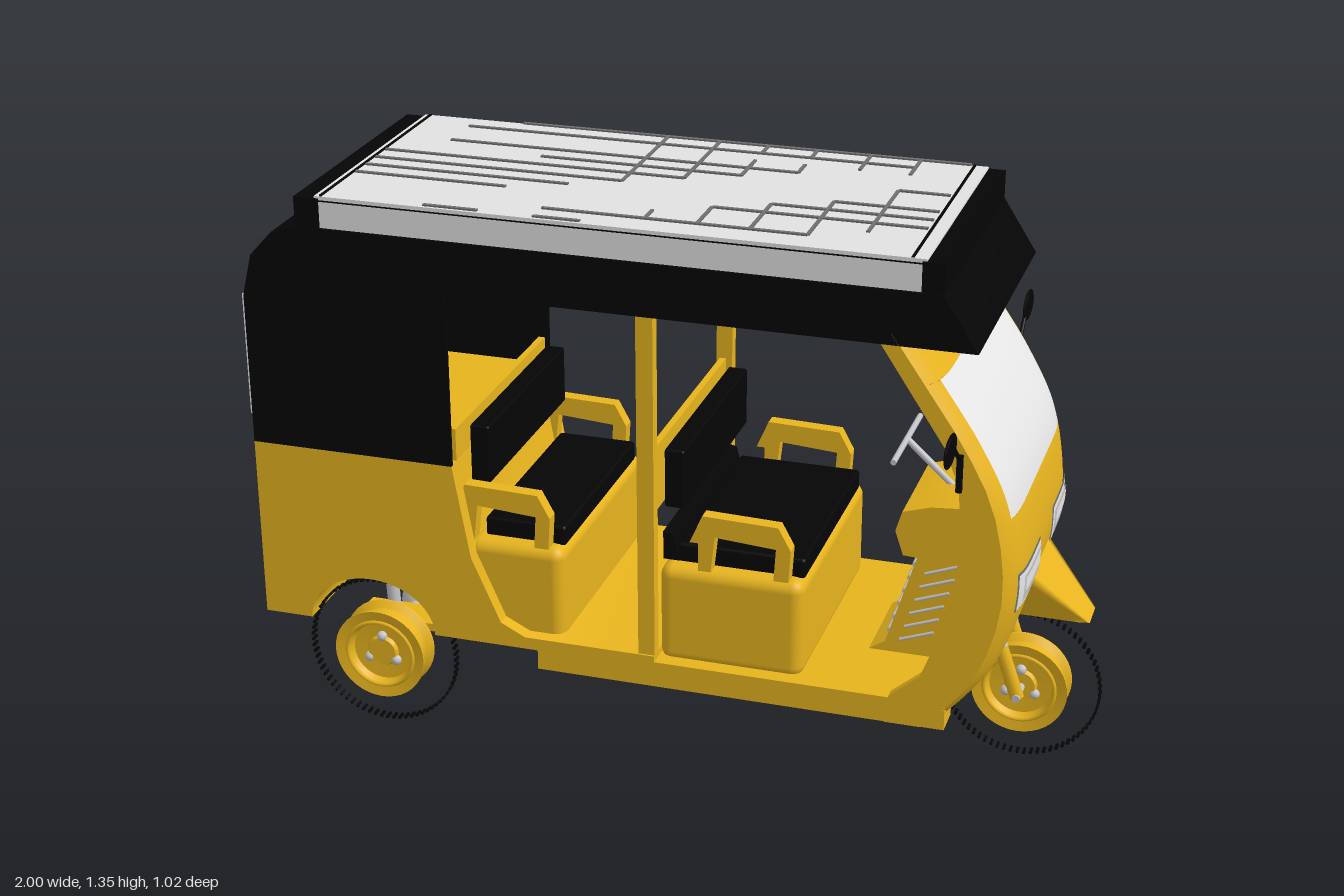
import * as THREE from 'three';
import { mergeGeometries, toCreasedNormals } from 'three/addons/utils/BufferGeometryUtils.js';
import { ParametricGeometry } from 'three/addons/geometries/ParametricGeometry.js';
import { RoundedBoxGeometry } from 'three/addons/geometries/RoundedBoxGeometry.js';

const paint = (name, color) => new THREE.MeshStandardMaterial({ name, color, side: THREE.DoubleSide });

export function createModel() {
  const root = new THREE.Group();
  root.name = 'threeWheeler';
  const yellow = paint('yellow', 0xf3bd20), black = paint('black', 0x050505), pale = paint('paleGlass', 0xe8e8e8);
  const panelGrey = paint('panelGrey', 0xe2e2e2), dark = paint('darkGrey', 0x707070), metal = paint('metal', 0xc4c4c8);

  const add = (name, geo, mat, x = 0, y = 0, z = 0, parent = root) => {
    const m = new THREE.Mesh(geo, mat);
    m.name = name;
    m.position.set(x, y, z);
    parent.add(m);
    return m;
  };
  // box given by its limits on each axis
  const box = (name, mat, x0, x1, y0, y1, z0, z1) =>
    add(name, new THREE.BoxGeometry(x1 - x0, y1 - y0, z1 - z0), mat, (x0 + x1) / 2, (y0 + y1) / 2, (z0 + z1) / 2);
  const shapeOf = pts => new THREE.Shape(pts.map(p => new THREE.Vector2(p[0], p[1])));
  // side profile extruded across z
  const slab = (name, mat, shape, z0, z1, parent = root) => add(name, toCreasedNormals(new THREE.ExtrudeGeometry(shape,
    { depth: z1 - z0, bevelEnabled: false, curveSegments: 16 }), 0.5), mat, 0, 0, z0, parent);
  const rod = (name, mat, a, b, r) => {
    const A = new THREE.Vector3(...a), B = new THREE.Vector3(...b);
    const m = add(name, new THREE.CylinderGeometry(r, r, A.distanceTo(B), 12), mat);
    m.position.copy(A).lerp(B, 0.5);
    m.quaternion.setFromUnitVectors(new THREE.Vector3(0, 1, 0), B.sub(A).normalize());
    return m;
  };
  const W = 0.335;

  // rear tub with wheel arches, running forward into the passenger floor
  const tub = new THREE.Shape();
  tub.moveTo(-0.99, 0.28).lineTo(-0.87, 0.28);
  tub.absellipse(-0.71, 0.28, 0.16, 0.125, Math.PI, 0, true);
  tub.lineTo(0, 0.28).lineTo(0, 0.31).lineTo(-0.32, 0.31).lineTo(-0.38, 0.34).lineTo(-0.45, 0.5);
  tub.lineTo(-0.49, 0.73).lineTo(-0.99, 0.73).closePath();
  slab('rearBody', yellow, tub, -W, W);
  box('floor', yellow, -0.29, 0.69, 0.25, 0.28, -0.3, 0.3);
  box('frontSill', yellow, 0, 0.62, 0.27, 0.295, -W, W);

  // hollow canopy: two side sheets, a bent skin
  const outline = [[-0.99, 0.73], [-0.99, 1.1], [-0.965, 1.2], [-0.91, 1.26], [-0.85, 1.28], [0.65, 1.28], [0.73, 1.155]];
  const inner = [[0.712, 1.155], [0.64, 1.265], [-0.845, 1.265], [-0.9, 1.245], [-0.95, 1.19], [-0.975, 1.1], [-0.975, 0.73]];
  slab('canopySkin', black, shapeOf([...outline, ...inner]), -W, W);
  for (const s of [-1, 1]) {
    slab('canopySide', black, shapeOf([...outline, [-0.49, 1.155], [-0.49, 0.73]]), s * 0.33 - 0.005, s * 0.33 + 0.005);
    box('sideRail', yellow, -0.29, 0.69, 0.23, 0.28, s * 0.295 - 0.038, s * 0.295 + 0.038);
    box('centrePillar', yellow, -0.04, 0, 0.29, 1.2, s * 0.315 - 0.015, s * 0.315 + 0.015);
    box('tailLamp', pale, -0.998, -0.989, 0.64, 0.705, s * 0.22 - 0.06, s * 0.22 + 0.06);
    box('tailLampRim', black, -0.995, -0.989, 0.636, 0.709, s * 0.22 - 0.064, s * 0.22 + 0.064);
  }
  box('rearWindow', pale, -0.996, -0.989, 0.8, 1.1, -0.33, 0.33);

  // roof rails and solar panel
  box('rearRoofRail', black, -0.85, -0.79, 1.27, 1.35, -0.33, 0.33);
  box('frontRoofRail', black, 0.6, 0.65, 1.27, 1.35, -0.33, 0.33);
  box('solarPanel', panelGrey, -0.8, 0.61, 1.28, 1.355, -0.327, 0.327);
  box('panelBracket', panelGrey, 0.445, 0.57, 1.294, 1.298, -0.385, -0.32);
  for (const s of [-1, 1]) box('panelEdge', black, -0.79, 0.6, 1.343, 1.346, s * 0.327 - 0.002, s * 0.327 + 0.002);
  for (const x of [-0.785, 0.578]) box('panelTrim', black, x - 0.003, x + 0.003, 1.353, 1.358, -0.325, 0.325);
  // cell lines along x: z, start, end
  [[-0.325, -0.54, 0.57], [-0.265, -0.66, 0.45], [-0.15, -0.66, 0.2], [-0.092, -0.41, 0.08], [-0.092, 0.45, 0.57],
    [-0.035, -0.78, -0.04], [0.025, -0.78, -0.17], [0.025, 0.33, 0.57], [0.082, -0.78, -0.28], [0.082, 0.2, 0.57],
    [0.14, -0.78, -0.41], [0.14, 0.08, 0.57], [0.257, -0.28, 0.33], [0.315, -0.54, -0.41], [0.315, -0.28, -0.17]]
    .forEach(([z, a, b]) => box('cellLine', dark, a, b, 1.353, 1.359, z - 0.005, z + 0.005));
  // cell lines along z: x, start, end
  [[-0.17, -0.32, 0.025], [-0.04, -0.32, -0.035], [0.08, -0.32, -0.265], [0.08, -0.21, -0.09], [0.2, -0.32, -0.265],
    [0.2, -0.21, -0.15], [0.33, -0.32, -0.21], [0.45, -0.32, -0.21], [0.45, -0.09, 0.2], [0.33, 0.025, 0.257],
    [0.2, 0.082, 0.257], [0.08, 0.14, 0.257], [-0.04, 0.2, 0.257]]
    .forEach(([x, a, b]) => box('cellLine', dark, x - 0.004, x + 0.004, 1.353, 1.359, a, b));

  // curved nose, built in patches so the windscreen is a real pane
  const nose = new THREE.SplineCurve([[0.575, 1.18], [0.665, 1.05], [0.745, 0.93], [0.81, 0.8], [0.84, 0.65],
    [0.835, 0.52], [0.79, 0.38], [0.72, 0.28], [0.67, 0.23]].map(p => new THREE.Vector2(...p)));
  const noseX = y => {
    let a = 0, b = 1;
    for (let i = 0; i < 24; i++) {
      const m = (a + b) / 2;
      if (nose.getPoint(m).y > y) a = m; else b = m;
    }
    return nose.getPoint(a).x;
  };
  const patch = (name, mat, y0, y1, z0, z1, off = 0) => add(name, new ParametricGeometry((u, v, p) => {
    const y = y0 + (y1 - y0) * v, z = z0 + (z1 - z0) * u;
    const well = THREE.MathUtils.smoothstep(0.47 - y, 0, 0.1) * (1 - THREE.MathUtils.smoothstep(Math.abs(z), 0.05, 0.12));
    p.set(noseX(y) - 0.035 * Math.pow(Math.abs(z) / W, 8) - 0.09 * well + off, y, z);
  }, 28, 20), mat);
  patch('noseTop', yellow, 1.18, 1.07, -W, W);
  patch('windscreen', pale, 1.07, 0.76, -0.29, 0.29);
  patch('noseLower', yellow, 0.76, 0.24, -W, W);
  const cheek = [];
  for (let i = 0; i <= 14; i++) {
    const y = 1.18 - i * 0.95 / 14;
    cheek.push([noseX(y) - 0.034, y]);
  }
  cheek.push([0.55, 0.23], [0.56, 0.3], [0.63, 0.36], [0.69, 0.52], [0.71, 0.7], [0.7, 0.84], [0.665, 0.93], [0.5, 1.18]);
  for (const s of [-1, 1]) {
    const z = (a, b) => s > 0 ? [a, b] : [-b, -a];
    patch('windscreenFrame', yellow, 1.07, 0.76, ...z(0.29, W));
    slab('noseCheek', yellow, shapeOf(cheek), ...z(0.312, W));
    // headlamp: thin dark outline, bright bezel, shaded bowl, lens
    patch('headlampOutline', dark, 0.627, 0.53, ...z(0.078, 0.292), 0.003);
    patch('headlampBezel', pale, 0.622, 0.535, ...z(0.083, 0.288), 0.005);
    patch('headlampBowl', metal, 0.612, 0.548, ...z(0.09, 0.262), 0.007);
    patch('headlampLens', pale, 0.605, 0.572, ...z(0.105, 0.255), 0.009);
    // wing mirrors
    rod('mirrorMount', black, [0.7, 0.83, s * 0.334], [0.7, 0.92, s * 0.334], 0.008);
    rod('mirrorArm', black, [0.7, 0.905, s * 0.335], [0.7, 0.965, s * 0.41], 0.005);
    add('mirror', new THREE.SphereGeometry(1, 16, 10), black, 0.7, 0.977, s * 0.45).scale.set(0.008, 0.036, 0.058);
  }
  // wedge mudguard: sloping top, sides falling back to the nose
  add('mudguard', new ParametricGeometry((u, v, p) => {
    const k = u * 2 - 1, half = 0.11 - 0.07 * v;
    const side = Math.max(0, (Math.abs(k) - 0.6) / 0.4);
    const z = Math.sign(k) * THREE.MathUtils.lerp(Math.min(Math.abs(k) / 0.6, 1) * half, 0.045, side);
    p.set(THREE.MathUtils.lerp(0.825 + 0.14 * v, 0.79 + 0.15 * v, side), THREE.MathUtils.lerp(0.55 - 0.15 * v, 0.4, side), z);
  }, 20, 8), yellow);

  // dashboard, leg shield, handlebar
  slab('dashboard', yellow, shapeOf([[0.54, 0.56], [0.72, 0.55], [0.72, 0.7], [0.6, 0.69], [0.535, 0.67], [0.52, 0.62]]), -0.14, 0.14);
  slab('legShield', yellow, shapeOf([[0.44, 0.28], [0.5, 0.32], [0.57, 0.55], [0.72, 0.55], [0.67, 0.28]]), -0.12, 0.12);
  for (let i = 0; i < 6; i++) {
    const x = 0.505 + i * 0.011, y = 0.34 + i * 0.036;
    rod('shieldRib', metal, [x, y, -0.1], [x, y, 0.1], 0.006);
    for (const s of [-1, 1]) rod('shieldSideRib', metal, [x + 0.03, y - 0.01, s * 0.12], [x + 0.11, y + 0.02, s * 0.12], 0.004);
  }
  rod('steeringColumn', metal, [0.63, 0.68, 0], [0.51, 0.79, 0], 0.008);
  rod('handlebar', metal, [0.51, 0.79, -0.14], [0.51, 0.79, 0.14], 0.007);

  // two bench seats facing forward, with an open gap under each backrest
  const bench = (name, x, len) => {
    const g = new THREE.Group();
    g.name = name;
    g.position.x = x;
    root.add(g);
    add('seatBase', new RoundedBoxGeometry(len, 0.25, 0.6, 3, 0.03), yellow, len / 2, 0.405, 0, g);
    add('cushion', new RoundedBoxGeometry(len - 0.04, 0.05, 0.52, 2, 0.008), black, len / 2 + 0.015, 0.55, 0, g);
    add('backrest', new RoundedBoxGeometry(0.048, 0.145, 0.52, 2, 0.006), black, 0.027, 0.735, 0, g);
    add('backPanel', new THREE.BoxGeometry(0.016, 0.16, 0.6), yellow, -0.024, 0.73, 0, g);
    const a = len - 0.27;
    const arm = shapeOf([[a, 0.6], [a + 0.03, 0.67], [a + 0.21, 0.665], [a + 0.24, 0.61], [a + 0.235, 0.53],
      [a + 0.2, 0.53], [a + 0.205, 0.61], [a + 0.06, 0.62], [a + 0.05, 0.53], [a + 0.02, 0.53], [a + 0.02, 0.6]]);
    for (const s of [-1, 1]) slab('armrest', yellow, arm, s * 0.28 - 0.017, s * 0.28 + 0.017, g);
  };
  bench('rearSeat', -0.475, 0.24);
  bench('frontSeat', 0, 0.345);
  slab('lumbarPad', black, shapeOf([[0, 0.53], [0.04, 0.53], [0.025, 0.595], [0, 0.6]]), -0.26, 0.26);

  // wheels: dished rim, hub bolts and a thin ring of tread lugs
  const rimGeo = new THREE.LatheGeometry([[0, -0.02], [0.035, -0.02], [0.04, -0.01], [0.075, -0.012], [0.085, -0.03], [0.115, -0.035],
    [0.115, -0.03], [0.1, -0.015], [0.1, 0.015], [0.115, 0.03], [0.115, 0.035], [0.085, 0.03], [0.075, 0.012], [0.04, 0.01],
    [0.035, 0.02], [0, 0.02]].map(p => new THREE.Vector2(...p)), 40);
  const rim = toCreasedNormals(rimGeo.rotateX(Math.PI / 2), 0.5);
  const lugs = [];
  for (let i = 0; i < 72; i++)
    lugs.push(new THREE.BoxGeometry(0.006, 0.006, 0.022).translate(0.187, 0, 0).rotateZ(i * Math.PI / 36));
  const tread = mergeGeometries(lugs);
  const wheel = (name, x, z) => {
    const g = new THREE.Group();
    g.name = name;
    g.position.set(x, 0.197, z);
    root.add(g);
    add('rim', rim, yellow, 0, 0, 0, g);
    add('tread', tread, black, 0, 0, 0, g);
    for (const s of [-1, 1]) {
      add('rimRing', new THREE.TorusGeometry(0.085, 0.005, 6, 36), yellow, 0, 0, s * 0.031, g);
      for (let i = 0; i < 3; i++) {
        const a = Math.PI / 2 + i * Math.PI * 2 / 3;
        add('hubBolt', new THREE.SphereGeometry(0.013, 10, 8), metal, Math.cos(a) * 0.04, Math.sin(a) * 0.04, s * 0.013, g);
      }
    }
  };
  wheel('frontWheel', 0.808, 0);
  wheel('rearWheel', -0.703, 0.29);
  wheel('rearWheel', -0.703, -0.29);

  // rear axle, motor and suspension
  rod('rearAxle', metal, [-0.703, 0.197, -0.27], [-0.703, 0.197, 0.27], 0.026);
  rod('motor', metal, [-0.72, 0.2, 0.02], [-0.56, 0.2, 0.02], 0.055);
  add('differential', new THREE.SphereGeometry(0.065, 20, 14), metal, -0.703, 0.197, 0.02);
  for (const s of [-1, 1]) {
    box('leafSpring', yellow, -0.8, -0.6, 0.225, 0.245, s * 0.18 - 0.045, s * 0.18 + 0.045);
    rod('rearDamper', metal, [-0.7, 0.22, s * 0.22], [-0.71, 0.42, s * 0.22], 0.016);
    // front fork with coil springs
    rod('forkLeg', yellow, [0.81, 0.19, s * 0.065], [0.765, 0.32, s * 0.065], 0.017);
    rod('forkTube', metal, [0.77, 0.3, s * 0.065], [0.73, 0.42, s * 0.065], 0.009);
    for (let i = 0; i < 7; i++) {
      const c = add('forkSpring', new THREE.TorusGeometry(0.014, 0.004, 6, 14), metal, 0.764 - i * 0.005, 0.325 + i * 0.014, s * 0.065);
      c.rotation.x = Math.PI / 2;
    }
  }
  rod('frontAxle', metal, [0.81, 0.195, -0.085], [0.81, 0.195, 0.085], 0.01);
  return root;
}
